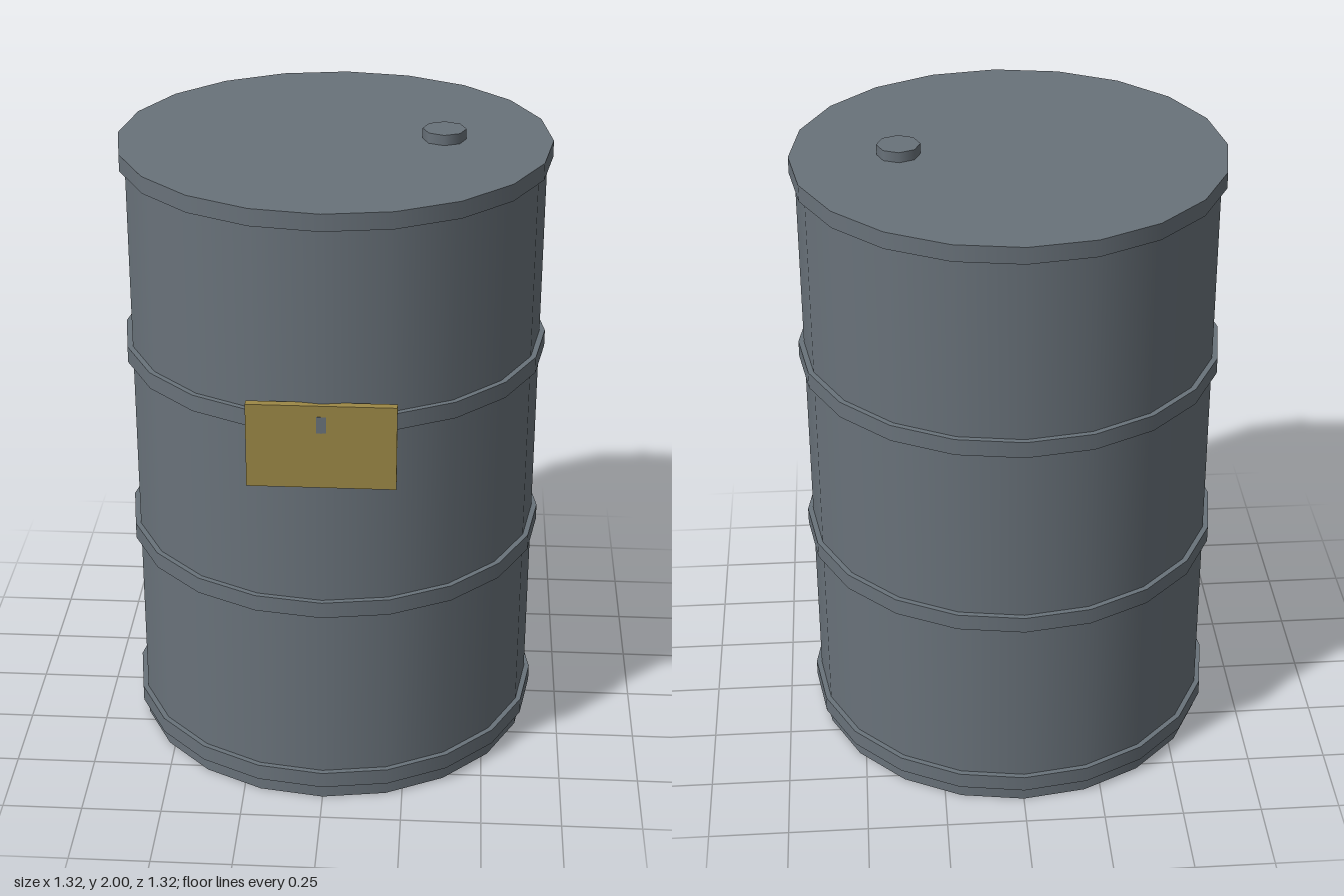
import * as THREE from 'three';

const steel = new THREE.MeshStandardMaterial({ color: 0x69727a });
steel.name = 'greySteel';
const ochre = new THREE.MeshStandardMaterial({ color: 0x9c8846 });
ochre.name = 'ochrePlate';

export function createModel() {
  const drum = new THREE.Group();
  drum.name = 'drum';

  const add = (name, geometry, material, x, y, z) => {
    const mesh = new THREE.Mesh(geometry, material);
    mesh.name = name;
    mesh.position.set(x, y, z);
    drum.add(mesh);
  };
  // Upright closed cylinder between two heights
  const disc = (name, radius, y0, y1, sides, x = 0) =>
    add(name, new THREE.CylinderGeometry(radius, radius, y1 - y0, sides), steel, x, (y0 + y1) / 2, 0);

  // Barrel wall with its floor
  disc('body', 0.643, 0, 1.95, 20);

  // Four hoops; the highest one carries the lid
  ['bottomHoop', 'lowerHoop', 'upperHoop', 'lid'].forEach((name, i) => {
    const y = 0.0745 + i * 0.6225;
    disc(name, 0.66, y - 0.026, y + 0.026, 20);
  });

  // Filler cap on the lid
  disc('fillerCap', 0.066, 1.96, 2, 8, 0.331);

  // Plate on the front, just pierced by the upper hoop's ridge
  add('frontPlate', new THREE.BoxGeometry(0.44, 0.265, 0.0255), ochre, 0, 1.248, 0.6449);

  return drum;
}
